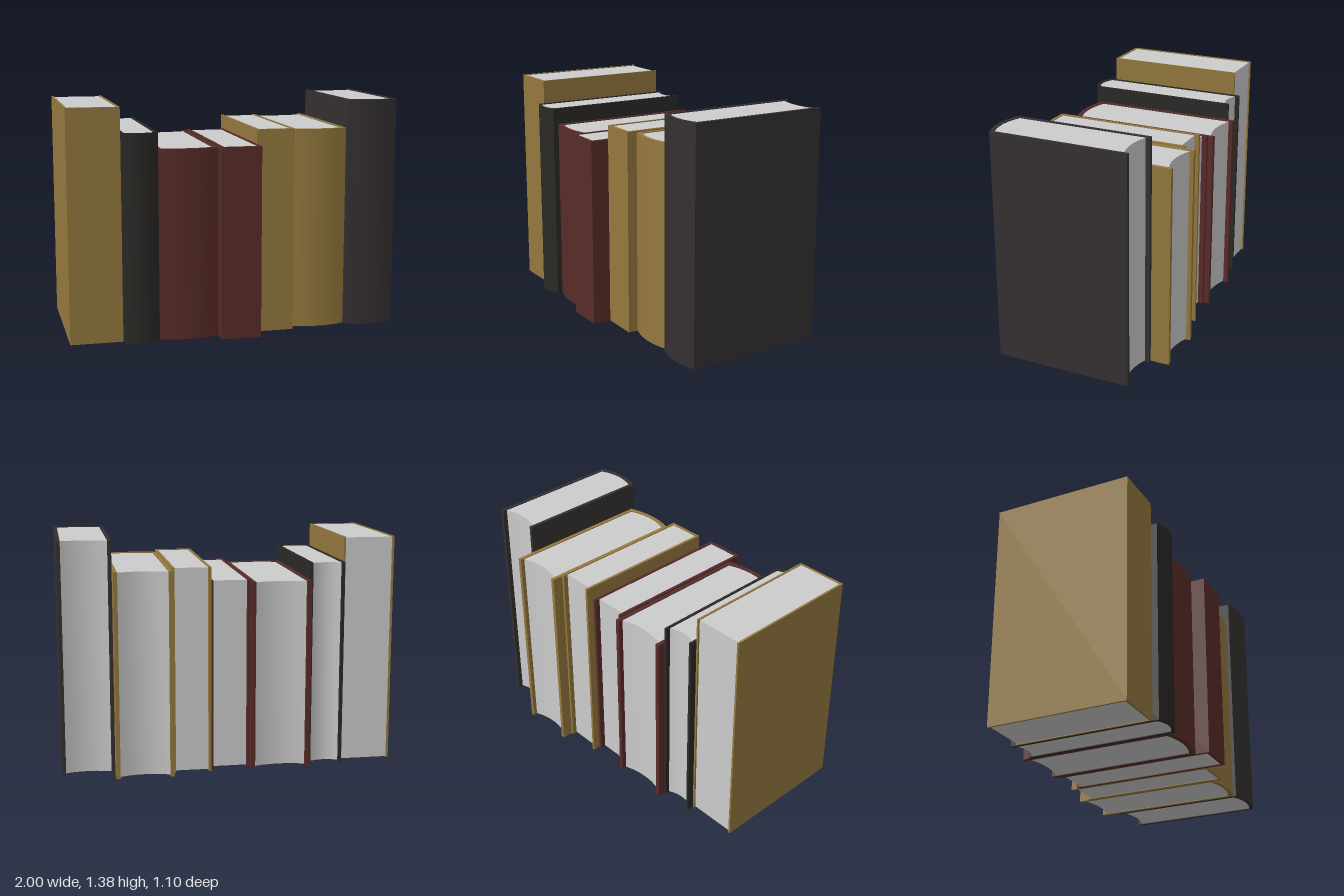
import * as THREE from 'three';
import { toCreasedNormals } from 'three/addons/utils/BufferGeometryUtils.js';

const GOLD = 0x94783e, BLACK = 0x2a2926, RED = 0x582c29, CHARCOAL = 0x353031;
const INSET = 0.005; // pages sit just below the cover edges
const SEGMENTS = 6;

// x0, x1: width; h: height; front: spine corner z; back: cover edge z;
// pages: page edge z; t: cover thickness; bulge: spine rounding; hollow: fore-edge rounding
const BOOKS = [
  { x0: -1.0, x1: -0.69, h: 1.375, front: 0.457, back: -0.39, pages: -0.38, t: 0.012, bulge: 0, hollow: 0, color: GOLD },
  { x0: -0.69, x1: -0.48, h: 1.23, front: 0.495, back: -0.43, pages: -0.405, t: 0.017, bulge: 0.028, hollow: 0.024, color: BLACK },
  { x0: -0.48, x1: -0.12, h: 1.13, front: 0.462, back: -0.475, pages: -0.447, t: 0.026, bulge: 0.029, hollow: 0.027, color: RED },
  { x0: -0.12, x1: 0.12, h: 1.14, front: 0.548, back: -0.44, pages: -0.408, t: 0.018, bulge: 0, hollow: 0, color: RED },
  { x0: 0.12, x1: 0.35, h: 1.225, front: 0.435, back: -0.485, pages: -0.456, t: 0.016, bulge: 0, hollow: 0, color: GOLD },
  { x0: 0.35, x1: 0.69, h: 1.215, front: 0.375, back: -0.55, pages: -0.525, t: 0.023, bulge: 0.03, hollow: 0.029, color: GOLD },
  { x0: 0.69, x1: 1.0, h: 1.385, front: 0.397, back: -0.435, pages: -0.407, t: 0.021, bulge: 0.03, hollow: 0.024, color: CHARCOAL },
];

// Bowed line from xa to xb at depth z, as (x, -z) points
function bow(xa, xb, z, bulge) {
  const n = bulge ? SEGMENTS : 1;
  return Array.from({ length: n + 1 }, (_, i) => {
    const u = i / n;
    return new THREE.Vector2(xa + (xb - xa) * u, -(z + bulge * 4 * u * (1 - u)));
  });
}

// Extrude a plan outline upwards from y0 to y1
function slab(name, points, y0, y1, color) {
  const flat = new THREE.ExtrudeGeometry(new THREE.Shape(points), { depth: y1 - y0, bevelEnabled: false });
  flat.rotateX(-Math.PI / 2).translate(0, y0, 0);
  const mesh = new THREE.Mesh(toCreasedNormals(flat, 0.5), new THREE.MeshStandardMaterial({ color }));
  mesh.name = name;
  return mesh;
}

function createBook(b) {
  const book = new THREE.Group();
  const inL = b.x0 + b.t, inR = b.x1 - b.t, inFront = b.front - b.t;

  // U-shaped cover: two boards joined by the spine
  const cover = [
    ...bow(b.x0, b.x1, b.front, b.bulge),
    new THREE.Vector2(b.x1, -b.back),
    new THREE.Vector2(inR, -b.back),
    ...bow(inR, inL, inFront, b.bulge),
    new THREE.Vector2(inL, -b.back),
    new THREE.Vector2(b.x0, -b.back),
  ];
  book.add(slab('cover', cover, 0, b.h, b.color));

  // Page block: follows the spine in front, hollow along the fore-edge
  const pages = [
    ...bow(inL, inR, inFront, b.bulge),
    ...bow(inR, inL, b.pages, b.hollow),
  ];
  book.add(slab('pages', pages, INSET, b.h - INSET, 0xcccccc));
  return book;
}

export function createModel() {
  const model = new THREE.Group();
  model.name = 'bookRow';
  BOOKS.forEach((b, i) => {
    const book = createBook(b);
    book.name = `book${i + 1}`;
    model.add(book);
  });
  return model;
}
